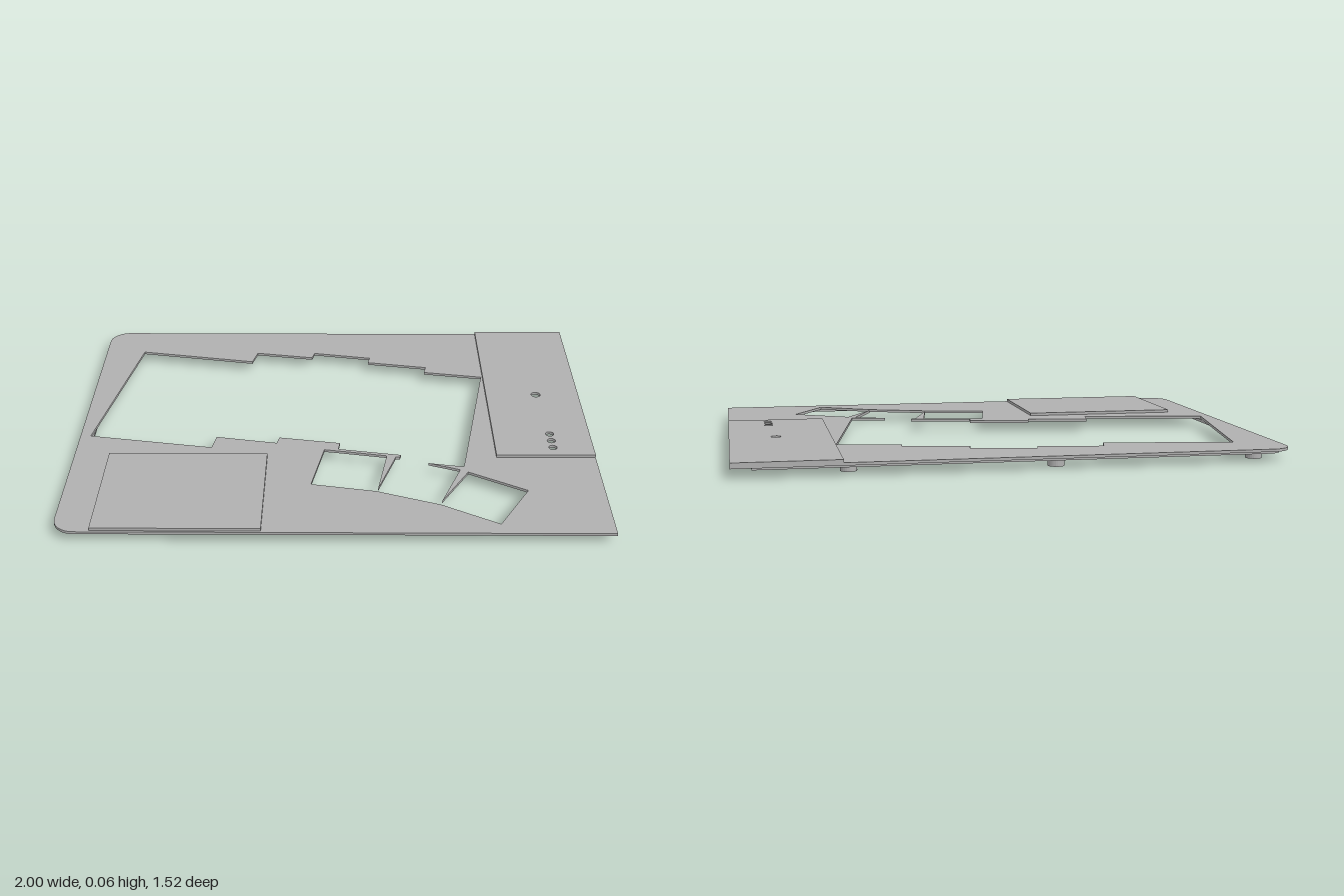
import * as THREE from 'three';

const grey = new THREE.MeshStandardMaterial({ color: 0xb0b0b0 });
grey.name = 'plate grey';

// Outline in x/z with rounded corners on the -x side only
function outline(x0, x1, z0, z1, r, Type = THREE.Shape) {
  const s = new Type();
  s.moveTo(x1, z0);
  s.lineTo(x1, z1);
  if (r > 0) {
    s.lineTo(x0 + r, z1);
    s.absarc(x0 + r, z1 - r, r, Math.PI / 2, Math.PI, false);
    s.lineTo(x0, z0 + r);
    s.absarc(x0 + r, z0 + r, r, Math.PI, Math.PI * 1.5, false);
  } else {
    s.lineTo(x0, z1);
    s.lineTo(x0, z0);
  }
  s.closePath();
  return s;
}

function disc(x, z, r, Type = THREE.Path) {
  const p = new Type();
  p.absarc(x, z, r, 0, Math.PI * 2, false);
  return p;
}

// Flat slab between two heights, drawn in x/z
function slab(name, shape, bottom, top) {
  const geo = new THREE.ExtrudeGeometry(shape, { depth: top - bottom, bevelEnabled: false, curveSegments: 12 });
  geo.rotateX(Math.PI / 2);
  geo.translate(0, top, 0);
  const mesh = new THREE.Mesh(geo, grey);
  mesh.name = name;
  return mesh;
}

export function createModel() {
  const model = new THREE.Group();
  model.name = 'keyboardTopPlate';
  const Z = 0.7625;

  // Stepped key opening running into the three thumb key openings
  const opening = new THREE.Path([
    [-0.836, -0.583], [-0.36, -0.497], [-0.341, -0.575], [-0.103, -0.535], [-0.093, -0.575],
    [0.146, -0.532], [0.138, -0.492], [0.384, -0.449], [0.376, -0.406], [0.614, -0.366],
    [0.491, 0.332], [0.357, 0.308], [0.475, 0.353], [0.394, 0.562], [0.504, 0.369],
    [0.716, 0.492], [0.595, 0.706], [0.389, 0.586], [0.155, 0.5], [-0.087, 0.455],
    [-0.04, 0.214], [0.2, 0.257], [0.161, 0.487], [0.234, 0.267], [0.25, 0.267], [0.255, 0.251],
    [0.014, 0.209], [0.02, 0.166], [-0.218, 0.126], [-0.226, 0.166], [-0.464, 0.123],
    [-0.478, 0.2], [-0.96, 0.118],
  ].map(([x, z]) => new THREE.Vector2(x, z)));

  // Main plate, open below the two raised covers
  const plate = outline(-1, 1, -Z, Z, 0.08);
  plate.holes.push(
    opening,
    outline(0.635, 0.91, -0.715, 0.25, 0, THREE.Path),
    outline(-0.85, -0.27, 0.275, 0.715, 0, THREE.Path),
  );
  model.add(slab('plate', plate, 0.037, 0.047));

  // Raised covers
  const sideCover = outline(0.62, 1, -Z, 0.265, 0);
  sideCover.holes.push(disc(0.825, -0.2, 0.019));
  for (const z of [0.11, 0.16, 0.21]) sideCover.holes.push(disc(0.843, z, 0.016));
  model.add(slab('sideCover', sideCover, 0.047, 0.058));
  model.add(slab('frontCover', outline(-0.865, -0.258, 0.262, 0.755, 0), 0.047, 0.058));

  // Locating lip under the edge
  const lip = outline(-0.97, 0.928, -0.735, 0.738, 0.055);
  lip.holes.push(outline(-0.95, 0.91, -0.715, 0.718, 0.036, THREE.Path));
  model.add(slab('lip', lip, 0.026, 0.037));

  // Hollow screw posts
  const posts = [
    [-0.885, -0.655], [-0.135, -0.685], [0.595, -0.65],
    [-0.885, 0.615], [-0.235, 0.583], [0.885, 0.667],
  ];
  for (const [x, z] of posts) {
    const ring = disc(x, z, 0.03, THREE.Shape);
    ring.holes.push(disc(x, z, 0.018));
    model.add(slab('screwPost', ring, 0, 0.037));
  }
  return model;
}
